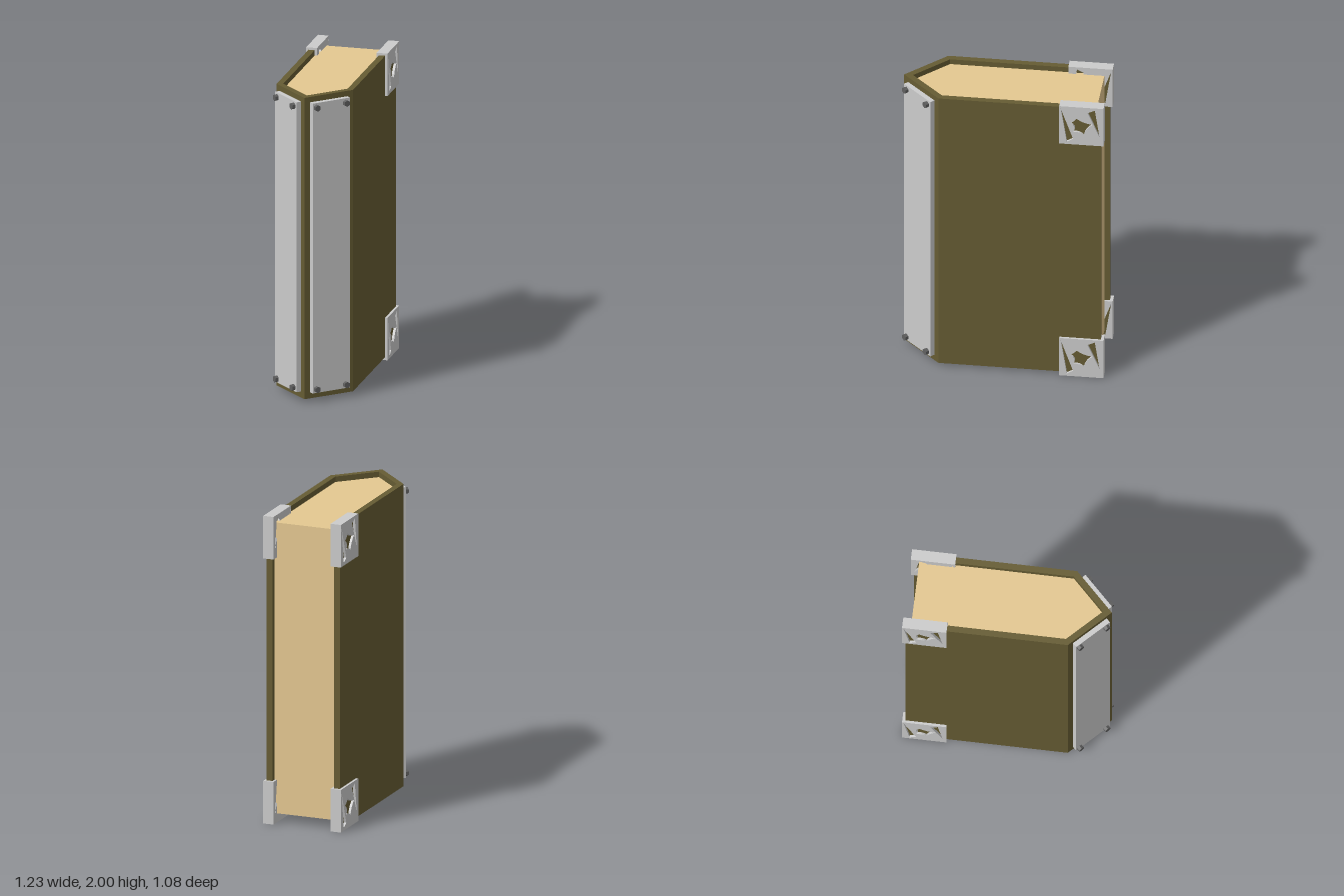
import * as THREE from 'three';

const metal = new THREE.MeshStandardMaterial({ color: 0xcccccc, flatShading: true });
const coverMat = new THREE.MeshStandardMaterial({ color: 0x665c33, flatShading: true });
const pageMat = new THREE.MeshStandardMaterial({ color: 0xe4c891, flatShading: true });
const boltMat = new THREE.MeshStandardMaterial({ color: 0x606060, flatShading: true });

const points = (list) => list.map(([x, y]) => new THREE.Vector2(x, y));

// Upright prism from a floor outline
function prism(name, outline, y0, y1, material) {
  const geo = new THREE.ExtrudeGeometry(new THREE.Shape(points(outline)), { depth: y1 - y0, bevelEnabled: false });
  geo.rotateX(-Math.PI / 2);
  geo.translate(0, y0, 0);
  const mesh = new THREE.Mesh(geo, material);
  mesh.name = name;
  return mesh;
}

// Corner clamp: square plate pierced by two wedges and a waisted centre
function clampGeometry(w, h, d) {
  const shape = new THREE.Shape(points([[-w / 2, -h / 2], [w / 2, -h / 2], [w / 2, h / 2], [-w / 2, h / 2]]));
  const wedge = [[-0.13, 0.122], [-0.092, -0.122], [-0.052, -0.098]];
  shape.holes.push(new THREE.Path(points(wedge)));
  shape.holes.push(new THREE.Path(points([[0.115, -0.075], [0.085, 0.122], [0.04, 0.1]])));
  // Four-cornered star with concave sides
  const corners = [[-0.072, 0.018], [-0.03, 0.053], [0.072, 0.016], [0.015, -0.066], [-0.05, -0.045]];
  const star = new THREE.Path();
  star.moveTo(...corners[0]);
  const waists = [[-0.045, 0.03], [0.012, 0.02], [0.025, -0.015], [-0.01, -0.04], [-0.025, -0.005]];
  corners.forEach((c, i) => {
    star.quadraticCurveTo(...waists[i], ...corners[(i + 1) % corners.length]);
  });
  shape.holes.push(star);
  const geo = new THREE.ExtrudeGeometry(shape, { depth: d, bevelEnabled: false, curveSegments: 4 });
  geo.translate(0, 0, -d / 2);
  return geo;
}

// Spine plate with four hexagonal bolts, facing +z
function spinePlate(name) {
  const group = new THREE.Group();
  group.name = name;
  const plate = new THREE.Mesh(new THREE.BoxGeometry(0.268, 1.89, 0.034), metal);
  plate.position.set(0, 1.005, 0.016);
  plate.name = 'plate';
  group.add(plate);
  const boltGeo = new THREE.CylinderGeometry(0.021, 0.021, 0.024, 6);
  boltGeo.rotateX(Math.PI / 2);
  for (const x of [-0.108, 0.102]) {
    for (const y of [0.085, 1.92]) {
      const bolt = new THREE.Mesh(boltGeo, boltMat);
      bolt.position.set(x, y, 0.043);
      bolt.name = 'bolt';
      group.add(bolt);
    }
  }
  return group;
}

export function createModel() {
  const model = new THREE.Group();
  model.name = 'book';
  // The whole book stands turned, its spine toward the front right
  const book = new THREE.Group();
  book.name = 'turnedBook';
  book.rotation.y = Math.atan2(0.6, 0.8);
  book.position.set(0.006, 0, 0.008);
  model.add(book);

  // Cover: a bent sheet with a pointed spine, open at the page edge
  const end = 0.545, out = 0.2475, inn = 0.208;
  const outer = [[end, out], [-0.476, out], [-0.723, 0], [-0.476, -out], [end, -out]];
  const inner = [[end, -inn], [-0.46, -inn], [-0.667, 0], [-0.46, inn], [end, inn]];
  book.add(prism('cover', [...outer, ...inner], 0.02, 1.985, coverMat));

  // Page block
  const p = inn + 0.001;
  book.add(prism('pages', [[0.512, p], [-0.46, p], [-0.668, 0], [-0.46, -p], [0.512, -p]], 0.06, 1.95, pageMat));

  // Corner clamps and spine plates on both sides
  const clampGeo = clampGeometry(0.279, 0.277, 0.07);
  for (const side of [1, -1]) {
    for (const y of [0.1385, 1.8615]) {
      const clamp = new THREE.Mesh(clampGeo, metal);
      clamp.position.set(0.4245, y, side * 0.228);
      if (side < 0) clamp.rotation.y = Math.PI;
      clamp.name = 'cornerClamp';
      book.add(clamp);
    }
    const plate = spinePlate(side > 0 ? 'frontSpinePlate' : 'sideSpinePlate');
    plate.position.set(-0.5995, 0, side * 0.124);
    plate.rotation.y = side > 0 ? -Math.PI / 4 : -3 * Math.PI / 4;
    book.add(plate);
  }
  return model;
}
